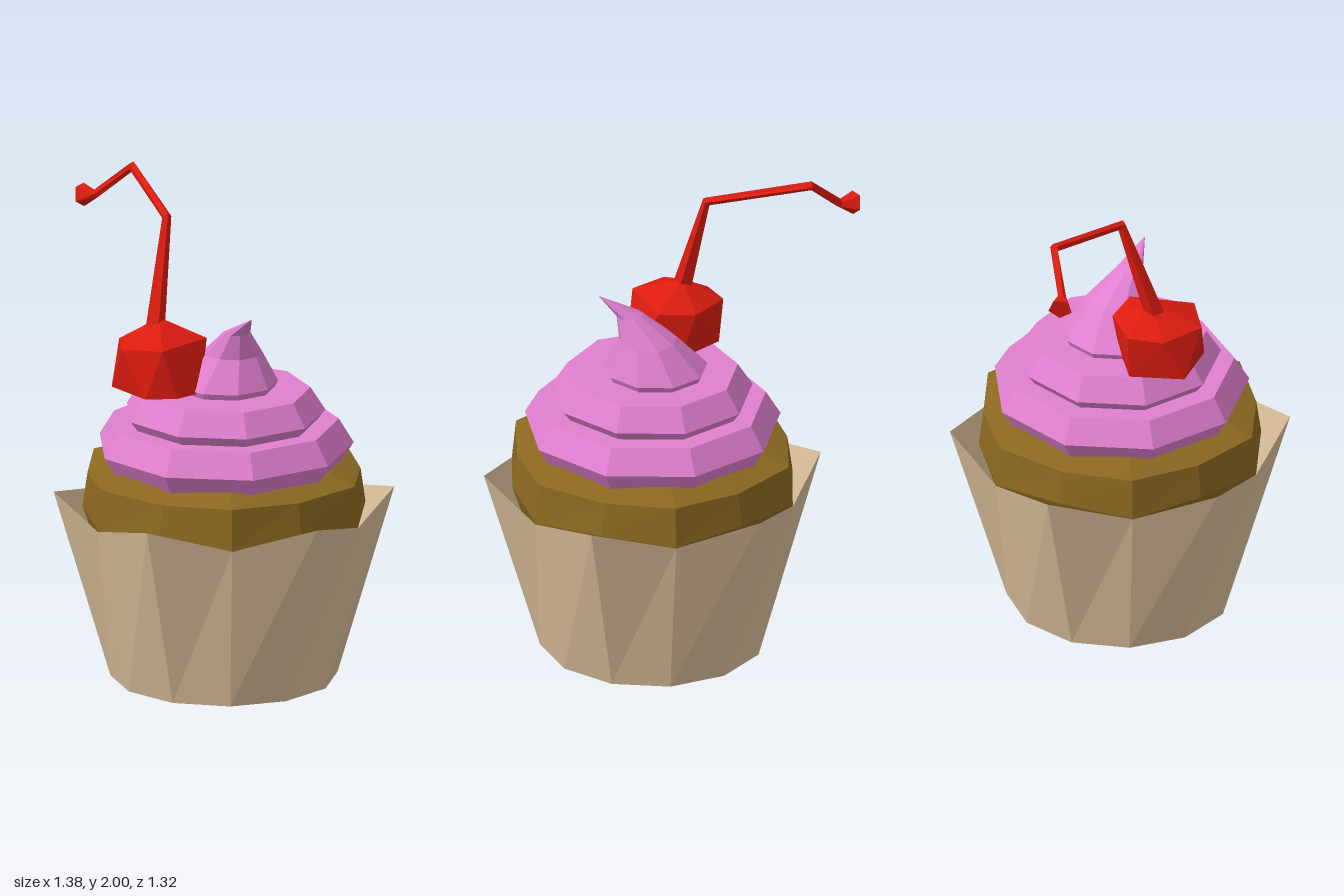
import * as THREE from 'three';
import { ConvexGeometry } from 'three/addons/geometries/ConvexGeometry.js';

const V = (x, y, z) => new THREE.Vector3(x, y, z);
const CZ = 0.05; // the cake's axis sits slightly forward of the stem's overhang

// Skin a stack of cross-sections, with optional fan caps
function loft(rings, capStart = true, capEnd = true) {
  const pos = [];
  const tri = (...pts) => pts.forEach((p) => pos.push(p.x, p.y, p.z));
  const n = rings[0].length;
  for (let j = 0; j < rings.length - 1; j++) {
    for (let i = 0; i < n; i++) {
      const k = (i + 1) % n, lo = rings[j], hi = rings[j + 1];
      tri(lo[i], hi[i], lo[k]);
      tri(lo[k], hi[i], hi[k]);
    }
  }
  const fan = (ring, flip) => {
    const c = ring.reduce((s, p) => s.add(p), V(0, 0, 0)).divideScalar(n);
    ring.forEach((p, i) => {
      const q = ring[(i + 1) % n];
      if (flip) tri(c, q, p); else tri(c, p, q);
    });
  };
  if (capStart) fan(rings[0], false);
  if (capEnd) fan(rings[rings.length - 1], true);
  const geo = new THREE.BufferGeometry();
  geo.setAttribute('position', new THREE.Float32BufferAttribute(pos, 3));
  geo.computeVertexNormals();
  return geo;
}

// Horizontal ring; radius and height may alternate between even and odd corners
function ring(n, r, y, rOdd = r, yOdd = y, cx = 0, cz = CZ) {
  return Array.from({ length: n }, (_, i) => {
    const a = (i / n) * Math.PI * 2, odd = i % 2 === 1, rad = odd ? rOdd : r;
    return V(cx + rad * Math.cos(a), odd ? yOdd : y, cz + rad * Math.sin(a));
  });
}

// Five-sided rod through points, with a radius at each point
function rod(points, radii) {
  return loft(points.map((p, i) => {
    const d = points[Math.min(i + 1, points.length - 1)].clone()
      .sub(points[Math.max(i - 1, 0)]).normalize();
    const u = V(1, 0, 0).addScaledVector(d, -d.x).normalize();
    const v = u.clone().cross(d);
    return Array.from({ length: 5 }, (_, k) => {
      const a = (k / 5) * Math.PI * 2;
      return p.clone().addScaledVector(u, radii[i] * Math.cos(a))
        .addScaledVector(v, radii[i] * Math.sin(a));
    });
  }));
}

export function createModel() {
  const group = new THREE.Group();
  const add = (name, geo, color, side = THREE.FrontSide) => {
    const mat = new THREE.MeshStandardMaterial({ color, flatShading: true, side });
    const mesh = new THREE.Mesh(geo, mat);
    mesh.name = name;
    group.add(mesh);
  };
  const red = 0xdd1c10, pink = 0xe07fcf;

  // Paper cup: 12 sides, six raised points on the rim
  add('paperCup', loft([ring(12, 0.46, 0), ring(12, 0.69, 0.78, 0.61, 0.7)], true, false),
    0xdcbf9b, THREE.DoubleSide);

  // Cake top bulging out of the cup
  add('cake', loft([
    ring(12, 0.5, 0.5, 0.515, 0.5),
    ring(12, 0.573, 0.72, 0.608, 0.702),
    ring(12, 0.553, 0.86, 0.59, 0.87),
    ring(12, 0.45, 0.9, 0.48, 0.905),
  ]), 0x8b6820);

  // Two stepped frosting layers, then a swirl leaning forward to its tip
  const layers = [
    [0.475, 0.89], [0.525, 0.97], [0.465, 1.07], [0.38, 1.07],
    [0.41, 1.11], [0.35, 1.205], [0.2, 1.205],
  ].map(([r, y]) => ring(9, r, y));
  add('frosting', loft(layers), pink);
  const swirl = [
    [0.195, 1.2, 0.01, 0.03], [0.21, 1.23, 0.01, 0.03], [0.12, 1.36, 0.035, 0.055],
    [0.055, 1.465, 0.048, 0.13], [0.002, 1.55, 0.1, 0.24],
  ].map(([r, y, x, z]) => ring(9, r, y, r, y, x, z));
  add('frostingTip', loft(swirl), pink);

  // Faceted cherry
  add('cherry', new ConvexGeometry([
    V(-0.26, 1.5, 0.02),
    V(-0.42, 1.41, 0.16), V(-0.26, 1.42, 0.235), V(-0.07, 1.42, 0.05),
    V(-0.14, 1.41, -0.085), V(-0.32, 1.41, -0.135), V(-0.42, 1.4, -0.03),
    V(-0.455, 1.22, 0.05), V(-0.33, 1.22, 0.235), V(-0.2, 1.22, 0.235),
    V(-0.1, 1.22, 0.16), V(-0.11, 1.22, -0.03), V(-0.31, 1.22, -0.12),
    V(-0.3, 1.165, 0.06),
  ]), red);

  // Bent stem with a flared end
  add('stem', rod([
    V(-0.28, 1.46, 0.025), V(-0.225, 1.89, -0.1), V(-0.34, 1.98, -0.51),
    V(-0.485, 1.845, -0.575), V(-0.54, 1.83, -0.62),
  ], [0.042, 0.02, 0.019, 0.018, 0.05]), red);

  return group;
}
